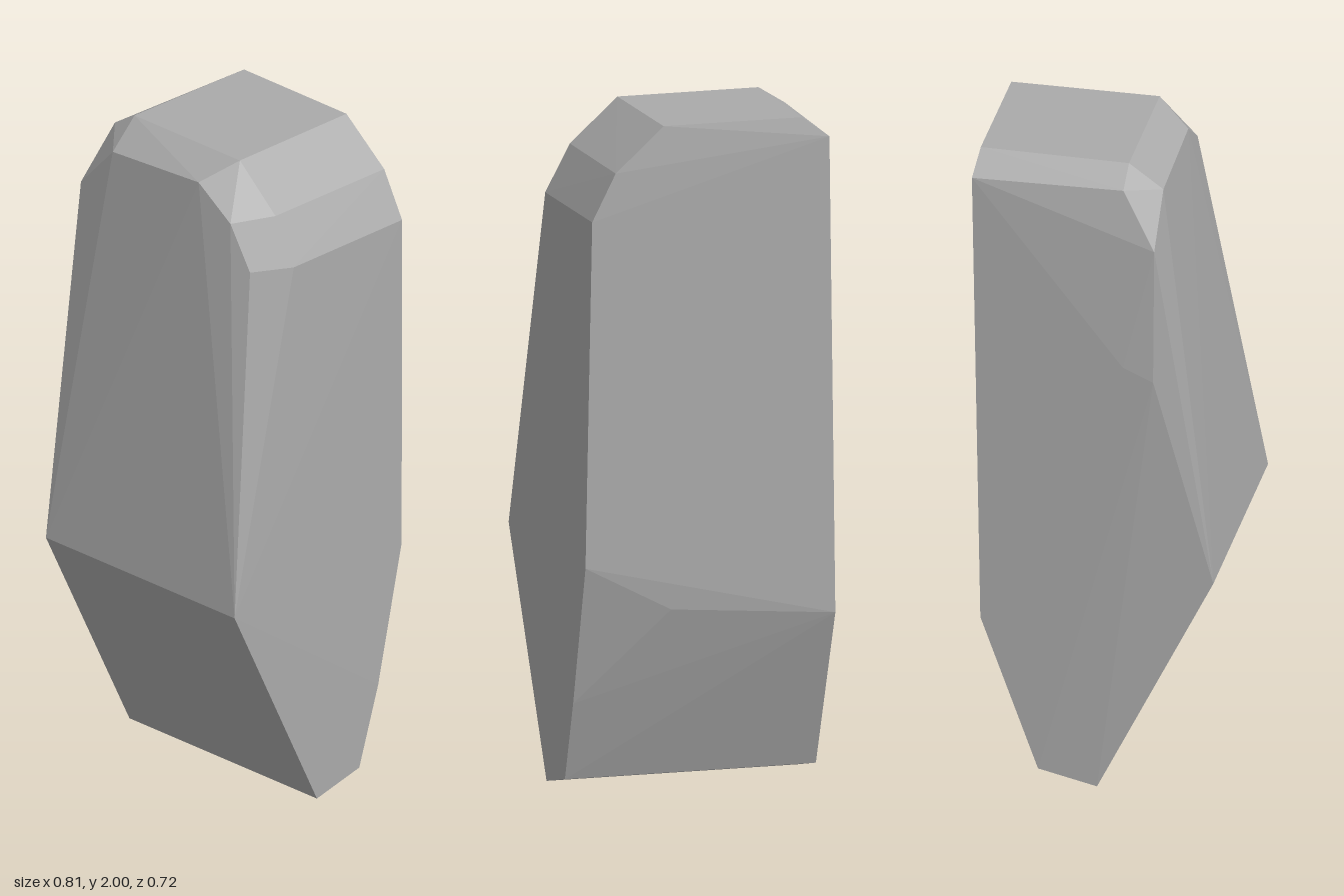
import * as THREE from 'three';
import { ConvexGeometry } from 'three/addons/geometries/ConvexGeometry.js';

// Faceted standing stone: a convex block described by rings of corners.
export function createModel() {
  const group = new THREE.Group();
  group.name = 'standingStone';
  const stone = new THREE.MeshStandardMaterial({ color: 0xaaaaaa });
  stone.name = 'grey stone';

  const corners = [
    // wedge-shaped foot
    [-0.365, 0, 0.015], [0.4, 0, 0.015], [-0.365, 0.04, -0.16], [0.4, 0.04, -0.16],
    // stepped back of the foot
    [0.4, 0.28, -0.238], [0.13, 0.56, -0.328], [-0.37, 0.52, -0.33], [0.395, 0.7, -0.34],
    // projecting front ridge
    [-0.365, 0.7, 0.36], [0.405, 0.7, 0.36],
    // bulge on the narrow side
    [-0.405, 1.4, 0.1], [-0.405, 1.36, 0.19],
    // upper rim of the front face
    [-0.39, 1.78, 0.19], [-0.26, 1.92, 0.19], [0.09, 1.94, 0.19], [0.22, 1.85, 0.19], [0.3, 1.72, 0.19],
    // bevelled shoulders, front
    [-0.35, 1.95, 0.09], [-0.27, 2, 0.09], [0.16, 2, 0.09], [0.305, 1.87, 0.09], [0.38, 1.73, 0.09],
    // bevelled shoulders, back
    [-0.342, 1.94, -0.361], [-0.26, 2, -0.352], [0.16, 2, -0.35], [0.308, 1.87, -0.356], [0.38, 1.73, -0.357],
  ].map((c) => new THREE.Vector3(...c));

  const body = new THREE.Mesh(new ConvexGeometry(corners), stone);
  body.name = 'stoneBody';
  group.add(body);
  return group;
}
